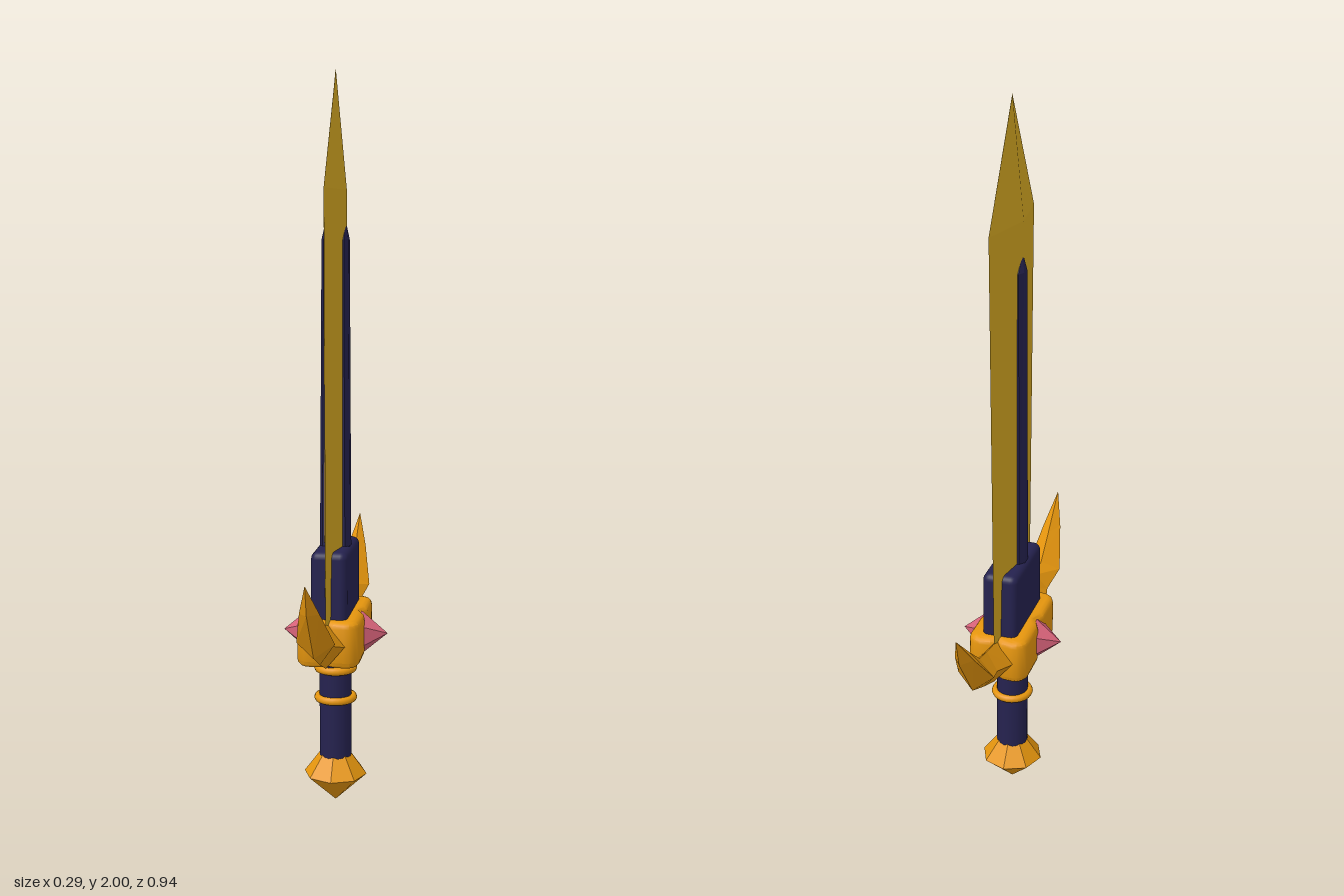
import * as THREE from 'three';
import { toCreasedNormals } from 'three/addons/utils/BufferGeometryUtils.js';
import { RoundedBoxGeometry } from 'three/addons/geometries/RoundedBoxGeometry.js';

const material = (name, color, flatShading = false) =>
  Object.assign(new THREE.MeshStandardMaterial({ color, flatShading }), { name });

// Joins equal-length rings of [x, y, z] points into a faceted solid with closed ends
function loft(rings) {
  const pos = [];
  const tri = (a, b, c) => pos.push(...a, ...b, ...c);
  const n = rings[0].length;
  for (let i = 0; i < rings.length - 1; i++) {
    for (let j = 0; j < n; j++) {
      const k = (j + 1) % n;
      tri(rings[i][j], rings[i][k], rings[i + 1][k]);
      tri(rings[i][j], rings[i + 1][k], rings[i + 1][j]);
    }
  }
  const last = rings[rings.length - 1];
  for (let j = 1; j < n - 1; j++) {
    tri(rings[0][0], rings[0][j + 1], rings[0][j]);
    tri(last[0], last[j], last[j + 1]);
  }
  const geometry = new THREE.BufferGeometry();
  geometry.setAttribute('position', new THREE.Float32BufferAttribute(pos, 3));
  geometry.computeVertexNormals();
  return geometry;
}

export function createModel() {
  const group = new THREE.Group();
  group.name = 'sword';
  const bladeGold = material('blade gold', 0xd6a822);
  const gold = material('orange gold', 0xe6960e);
  const navy = material('navy', 0x25224f);
  const pink = material('pink gem', 0xd8637a);

  const add = (name, geometry, mat, x = 0, y = 0, z = 0) => {
    const mesh = new THREE.Mesh(geometry, mat);
    mesh.name = name;
    mesh.position.set(x, y, z);
    group.add(mesh);
    return mesh;
  };

  // Blade: diamond cross-section widening to the shoulders, then a point
  const diamond = (y, x, z) => [[x, y, 0], [0, y, -z], [-x, y, 0], [0, y, z]];
  add('blade', loft([
    diamond(0.5, 0.03, 0.168), diamond(1.69, 0.03, 0.19), diamond(2, 0.0005, 0.0005),
  ]), bladeGold);

  // Raised central ridge with a pointed top
  const ridge = (y, x, z) => [
    [x, y, z * 0.4], [x, y, -z * 0.4], [x * 0.75, y, -z], [-x * 0.75, y, -z],
    [-x, y, -z * 0.4], [-x, y, z * 0.4], [-x * 0.75, y, z], [x * 0.75, y, z],
  ];
  add('bladeRidge', loft([
    ridge(0.6, 0.042, 0.035), ridge(1.56, 0.036, 0.034), ridge(1.61, 0.027, 0.002),
  ]), navy);

  // Collar: rounded block, slightly narrower at the top
  const collar = new RoundedBoxGeometry(0.1, 0.24, 0.26, 3, 0.02);
  const p = collar.attributes.position;
  for (let i = 0; i < p.count; i++) p.setZ(i, p.getZ(i) * (0.965 - p.getY(i) * 0.3));
  add('collar', collar, navy, 0, 0.615, 0);

  // Guard block: rounded corners, pinched sides and notched ends
  const s = new THREE.Shape();
  s.moveTo(0.052, 0);
  s.lineTo(0.067, 0.035);
  s.lineTo(0.067, 0.115);
  s.quadraticCurveTo(0.067, 0.14, 0.045, 0.14);
  s.lineTo(0.022, 0.138);
  s.lineTo(0, 0.125);
  s.lineTo(-0.022, 0.138);
  s.lineTo(-0.045, 0.14);
  s.quadraticCurveTo(-0.067, 0.14, -0.067, 0.115);
  s.lineTo(-0.067, 0.035);
  s.lineTo(-0.052, 0);
  s.lineTo(-0.067, -0.035);
  s.lineTo(-0.067, -0.115);
  s.quadraticCurveTo(-0.067, -0.14, -0.045, -0.14);
  s.lineTo(-0.022, -0.138);
  s.lineTo(0, -0.125);
  s.lineTo(0.022, -0.138);
  s.lineTo(0.045, -0.14);
  s.quadraticCurveTo(0.067, -0.14, 0.067, -0.115);
  s.lineTo(0.067, -0.035);
  s.closePath();
  const guard = new THREE.ExtrudeGeometry(s, {
    depth: 0.092, bevelSize: 0.018, bevelThickness: 0.018, bevelSegments: 3, curveSegments: 4,
  });
  guard.rotateX(-Math.PI / 2);
  add('guardBlock', toCreasedNormals(guard, 0.6), gold, 0, 0.444, 0);

  // Guard horns: diamond sections sweeping out and up; [half width, top y, top z, bottom y, bottom z]
  const horn = loft([
    [0.05, 0.545, 0.12, 0.43, 0.12],
    [0.05, 0.55, 0.16, 0.43, 0.165],
    [0.034, 0.563, 0.23, 0.468, 0.255],
    [0.05, 0.577, 0.29, 0.513, 0.35],
    [0.026, 0.64, 0.367, 0.65, 0.45],
    [0.0005, 0.73, 0.47, 0.729, 0.471],
  ].map(([w, ty, tz, by, bz]) => {
    const y = (ty + by) / 2, z = (tz + bz) / 2;
    return [[w, y, z], [0, ty, tz], [-w, y, z], [0, by, bz]];
  }));
  add('frontHorn', horn, gold);
  add('backHorn', horn, gold).rotation.y = Math.PI;

  // Six-sided gems on both sides of the guard
  for (const side of [1, -1]) {
    const gem = new THREE.ConeGeometry(0.062, 0.073, 6).toNonIndexed();
    gem.computeVertexNormals();
    gem.rotateY(Math.PI / 2);
    gem.rotateZ(-side * Math.PI / 2);
    add(side > 0 ? 'leftGem' : 'rightGem', gem, pink, side * 0.1085, 0.488, 0);
  }

  // Grip and its two rings
  add('grip', new THREE.CylinderGeometry(0.045, 0.045, 0.32, 20), navy, 0, 0.29, 0);
  for (const y of [0.3, 0.385]) {
    const ring = new THREE.TorusGeometry(0.049, 0.011, 8, 24);
    ring.rotateX(Math.PI / 2);
    add('gripRing', ring, gold, 0, y, 0);
  }

  // Faceted pommel
  const pommel = new THREE.LatheGeometry(
    [[0, 0], [0.088, 0.08], [0.043, 0.14], [0, 0.14]].map(([r, y]) => new THREE.Vector2(r, y)), 8,
  ).toNonIndexed();
  pommel.computeVertexNormals();
  add('pommel', pommel, gold);

  return group;
}
